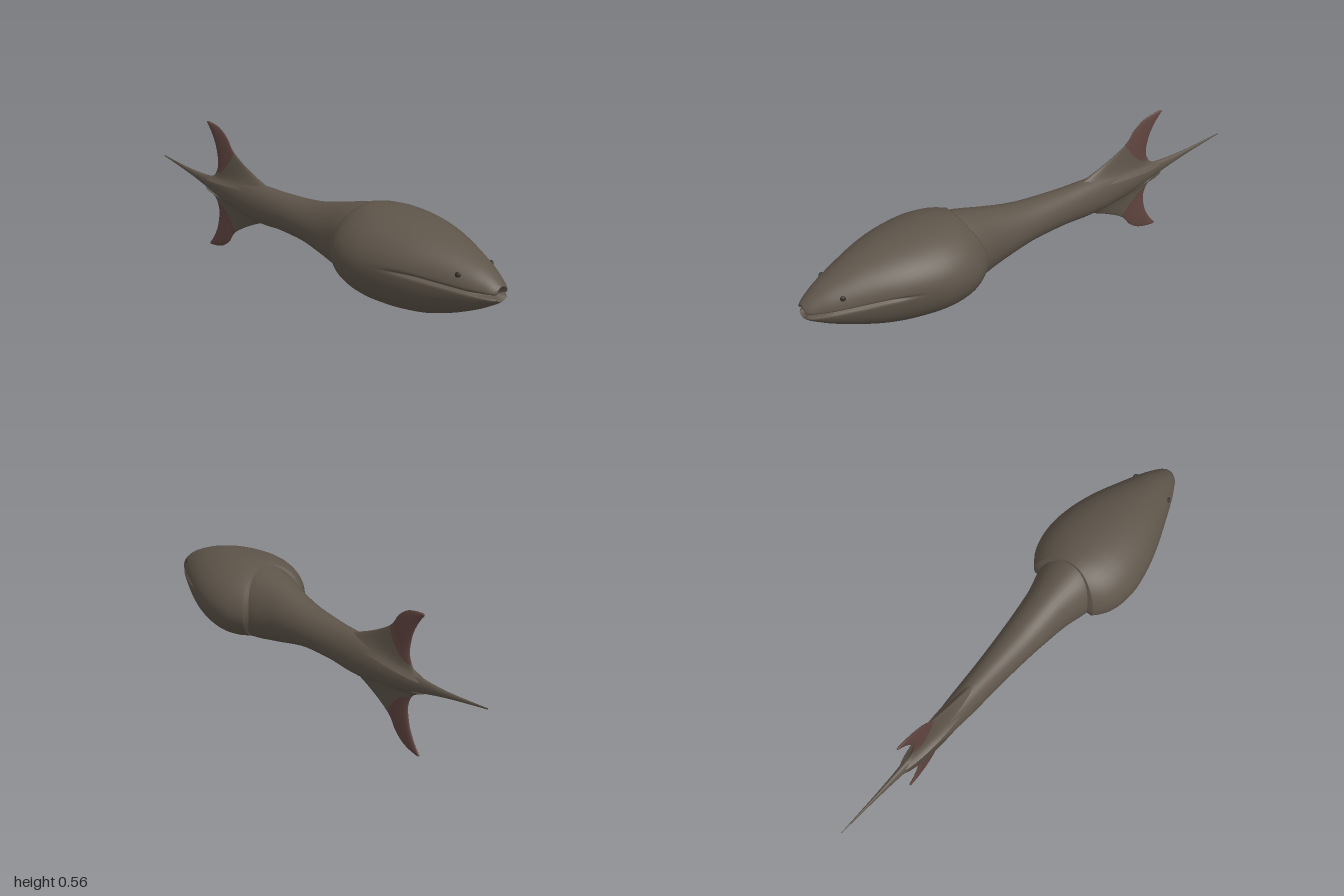
import * as THREE from 'three';

const bodyMat = new THREE.MeshStandardMaterial({ color: 0x5e554a, side: THREE.DoubleSide });
bodyMat.name = 'olive brown skin';
const finMat = new THREE.MeshStandardMaterial({ color: 0x604540, side: THREE.DoubleSide });
finMat.name = 'dull red fin';
const eyeMat = new THREE.MeshStandardMaterial({ color: 0x35302a });
eyeMat.name = 'dark eye';

// Smooth list of rows: Catmull-Rom through every column of the table
function smoothRows(rows, steps) {
  const out = [];
  const at = (i) => rows[Math.min(Math.max(i, 0), rows.length - 1)];
  for (let i = 0; i < rows.length - 1; i++) {
    for (let s = 0; s < steps; s++) {
      const t = s / steps;
      out.push(rows[i].map((p1, k) => {
        const p0 = at(i - 1)[k], p2 = at(i + 1)[k], p3 = at(i + 2)[k];
        return 0.5 * (2 * p1 + (p2 - p0) * t + (2 * p0 - 5 * p1 + 4 * p2 - p3) * t * t
          + (3 * p1 - p0 - 3 * p2 + p3) * t * t * t);
      }));
    }
  }
  out.push(rows[rows.length - 1]);
  return out;
}

// Skin a stack of closed rings; point(row, angle) gives [x, y, z]
function skin(name, rows, sides, point, material, flip = false) {
  const pos = [], index = [];
  rows.forEach((row, i) => {
    for (let j = 0; j < sides; j++) {
      pos.push(...point(row, (j / sides) * Math.PI * 2));
      if (i === rows.length - 1) continue;
      const a = i * sides + j, b = i * sides + (j + 1) % sides;
      const c = a + sides, d = b + sides;
      if (flip) index.push(a, b, c, b, d, c);
      else index.push(a, c, b, b, c, d);
    }
  });
  const geo = new THREE.BufferGeometry();
  geo.setAttribute('position', new THREE.Float32BufferAttribute(pos, 3));
  geo.setIndex(index);
  geo.computeVertexNormals();
  const mesh = new THREE.Mesh(geo, material);
  mesh.name = name;
  return mesh;
}

// Head rows: z, half width, top, bottom, height of the mouth line
const headRows = [
  [0.995, 0.028, 0.300, 0.247, 0.267],
  [0.98, 0.045, 0.312, 0.235, 0.268],
  [0.95, 0.062, 0.333, 0.217, 0.271],
  [0.90, 0.088, 0.360, 0.190, 0.276],
  [0.80, 0.130, 0.400, 0.147, 0.287],
  [0.70, 0.170, 0.428, 0.116, 0.297],
  [0.60, 0.201, 0.446, 0.102, 0.298],
  [0.50, 0.218, 0.455, 0.101, 0.290],
  [0.42, 0.214, 0.455, 0.107, 0.284],
  [0.36, 0.197, 0.453, 0.112, 0.280],
  [0.32, 0.172, 0.449, 0.117, 0.280],
  [0.295, 0.150, 0.444, 0.120, 0.280],
];

function headPoint([z, w, top, bottom, mid], angle) {
  // crowd the points along the mouth line
  const a = angle - 0.45 * Math.sin(2 * angle);
  const s = Math.sin(a);
  const dy = s * (s > 0 ? top - mid : mid - bottom);
  // mouth slit, deepest at the snout and fading towards the cheek
  const fade = THREE.MathUtils.smoothstep(z, 0.58, 0.75);
  const slit = fade * Math.exp(-((dy / 0.006) ** 2));
  const x = Math.cos(a) * Math.max(0, w - slit * 0.014);
  const nose = THREE.MathUtils.smoothstep(z, 0.90, 0.99);
  // gill cover reaches furthest back on the flanks
  const back = 1 - THREE.MathUtils.smoothstep(z, 0.29, 0.5);
  const shift = back * s * s * (s > 0 ? 0.055 : 0.085);
  return [x, mid + dy, z - slit * nose * 0.025 + shift];
}

// Trunk and tail rows: z, half width, top, bottom
const bodyRows = [
  [0.60, 0.100, 0.400, 0.140],
  [0.42, 0.140, 0.435, 0.115],
  [0.34, 0.136, 0.437, 0.122],
  [0.28, 0.124, 0.425, 0.135],
  [0.20, 0.102, 0.405, 0.152],
  [0.10, 0.088, 0.380, 0.177],
  [0.00, 0.077, 0.365, 0.195],
  [-0.15, 0.064, 0.357, 0.200],
  [-0.25, 0.058, 0.357, 0.194],
  [-0.35, 0.052, 0.355, 0.196],
  [-0.45, 0.043, 0.346, 0.210],
  [-0.55, 0.030, 0.334, 0.228],
  [-0.65, 0.017, 0.317, 0.254],
  [-0.80, 0.008, 0.317, 0.292],
  [-1.00, 0.001, 0.336, 0.331],
];

function bodyPoint([z, w, top, bottom], a) {
  return [w * Math.cos(a), (top + bottom) / 2 + (top - bottom) / 2 * Math.sin(a), z];
}

// Fin rows: front edge z, y; rear edge z, y; half thickness; sag of the row
const finRows = [
  [-0.20, 0.335, -0.68, 0.300, 0.042, 0.00],
  [-0.35, 0.390, -0.63, 0.322, 0.020, 0.02],
  [-0.475, 0.455, -0.605, 0.345, 0.010, 0.03],
  [-0.52, 0.508, -0.590, 0.390, 0.008, 0.02],
  [-0.565, 0.541, -0.603, 0.460, 0.007, 0.01],
  [-0.61, 0.555, -0.632, 0.515, 0.006, 0.00],
  [-0.655, 0.560, -0.660, 0.550, 0.004, 0.00],
  [-0.660, 0.556, -0.661, 0.555, 0.000, 0.00],
];

function finPoint(row, a, lower) {
  const [z0, y0, z1, y1, thick, sag] = row;
  const u = (1 - Math.cos(a)) / 2;
  const y = y0 + (y1 - y0) * u - sag * 4 * u * (1 - u);
  return [thick * Math.sin(a), lower ? 0.56 - y : y, z0 + (z1 - z0) * u];
}

export function createModel() {
  const model = new THREE.Group();
  model.name = 'fish';

  // Head, closed by a recessed mouth in front and a tucked-in rear rim
  const mouth = [0.955, 0, 0.267, 0.267, 0.267];
  const rim = [0.290, 0.110, 0.415, 0.155, 0.280];
  const headStack = [mouth, ...smoothRows(headRows, 4), rim];
  model.add(skin('head', headStack, 72, headPoint, bodyMat));

  // Trunk running into the long pointed tail
  model.add(skin('trunk', smoothRows(bodyRows, 4), 40, bodyPoint, bodyMat));

  // Upper and lower tail fins: skin-coloured root and red blade
  const steps = 4;
  const fin = smoothRows(finRows, steps);
  for (const lower of [false, true]) {
    const side = lower ? 'lower' : 'upper';
    const point = (row, a) => finPoint(row, a, lower);
    model.add(skin(side + 'FinRoot', fin.slice(0, 2 * steps + 1), 28, point, bodyMat, !lower));
    model.add(skin(side + 'FinBlade', fin.slice(2 * steps), 28, point, finMat, !lower));
  }

  // Small eyes set into the head
  for (const side of [1, -1]) {
    const eye = new THREE.Mesh(new THREE.SphereGeometry(0.011, 14, 10), eyeMat);
    eye.name = side > 0 ? 'leftEye' : 'rightEye';
    eye.scale.set(0.6, 1, 1);
    eye.position.set(side * 0.086, 0.328, 0.87);
    eye.rotation.y = -side * 0.4;
    model.add(eye);
  }
  return model;
}
